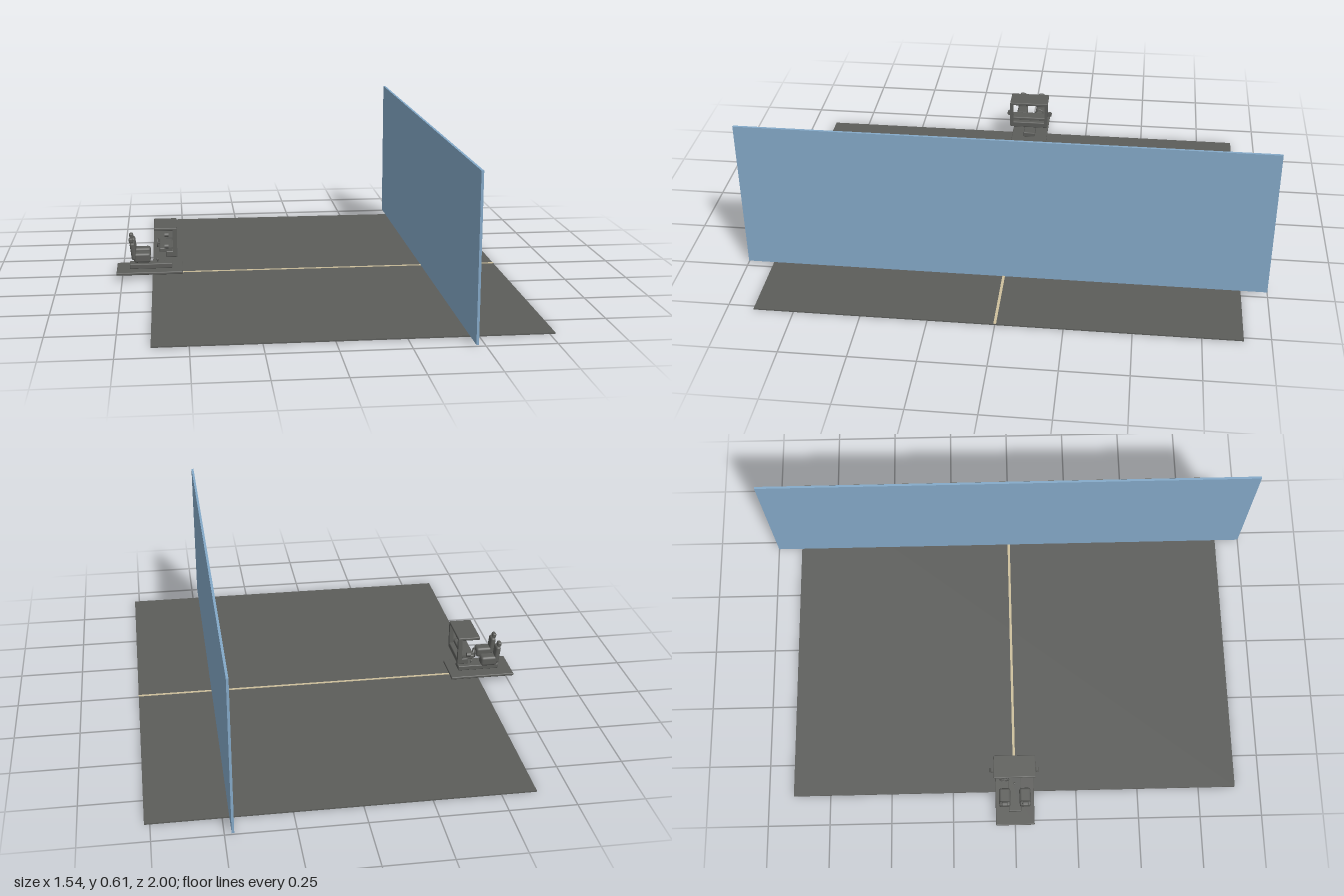
import * as THREE from 'three';
import { RoundedBoxGeometry } from 'three/addons/geometries/RoundedBoxGeometry.js';

export function createModel() {
  const model = new THREE.Group();
  const material = (name, color) => {
    const m = new THREE.MeshStandardMaterial({ color });
    m.name = name;
    return m;
  };
  const grey = material('asphalt grey', 0x5c5d5a);
  const blue = material('screen blue', 0x84a9c8);
  const cream = material('line cream', 0xcdbf9c);

  const add = (parent, name, geometry, mat, x = 0, y = 0, z = 0) => {
    const mesh = new THREE.Mesh(geometry, mat);
    mesh.name = name;
    mesh.position.set(x, y, z);
    parent.add(mesh);
    return mesh;
  };
  // Box given by its limits on each axis, rounded when r is set
  const box = (parent, name, mat, [x0, x1], [y0, y1], [z0, z1], r = 0) => {
    const size = [x1 - x0, y1 - y0, z1 - z0];
    const geometry = r ? new RoundedBoxGeometry(...size, 2, r) : new THREE.BoxGeometry(...size);
    return add(parent, name, geometry, mat, (x0 + x1) / 2, (y0 + y1) / 2, (z0 + z1) / 2);
  };

  // Road, centre line and projection screen
  box(model, 'road', grey, [-0.63, 0.77], [0, 0.005], [-0.9, 0.9]);
  box(model, 'centreLine', cream, [-0.63, 0.77], [0.005, 0.007], [-0.005, 0.005]);
  box(model, 'screen', blue, [0.466, 0.475], [0.005, 0.607], [-1, 1]);

  // Simulator cab: floor and raised tunnel
  const cab = new THREE.Group();
  cab.name = 'cab';
  model.add(cab);
  box(cab, 'floorPlate', grey, [-0.772, -0.51], [0.019, 0.03], [-0.078, 0.078], 0.003);
  box(cab, 'tunnel', grey, [-0.72, -0.55], [0.03, 0.05], [-0.025, 0.025], 0.003);

  // Two seats with leaning backs and headrests
  for (const side of [-1, 1]) {
    const seat = new THREE.Group();
    seat.name = side > 0 ? 'leftSeat' : 'rightSeat';
    seat.position.z = side * 0.041;
    cab.add(seat);
    box(seat, 'cushion', grey, [-0.702, -0.636], [0.064, 0.104], [-0.023, 0.023], 0.01);
    const back = box(seat, 'backrest', grey, [-0.714, -0.694], [0.075, 0.146], [-0.022, 0.022], 0.008);
    back.rotation.z = 0.12;
    const head = box(seat, 'headrest', grey, [-0.721, -0.705], [0.143, 0.163], [-0.013, 0.013], 0.006);
    head.rotation.z = 0.12;
  }

  // Roof on two front posts, joined by a lower front bar
  box(cab, 'roof', grey, [-0.62, -0.53], [0.198, 0.21], [-0.083, 0.083], 0.003);
  for (const side of [-1, 1]) {
    const z = side * 0.076;
    box(cab, 'post', grey, [-0.547, -0.53], [0.095, 0.205], [z - 0.007, z + 0.007]);
    const mirror = add(cab, 'sideMirror', new THREE.CylinderGeometry(0.009, 0.009, 0.016, 16), grey, -0.572, 0.138, side * 0.09);
    mirror.rotation.z = Math.PI / 2;
    box(cab, 'mirrorArm', grey, [-0.575, -0.535], [0.123, 0.131], [z - 0.005, z + 0.005]);
  }
  box(cab, 'frontBar', grey, [-0.575, -0.53], [0.09, 0.115], [-0.08, 0.08], 0.004);
  box(cab, 'dashboard', grey, [-0.6, -0.55], [0.112, 0.128], [-0.078, 0.078], 0.004);

  // Steering wheel, column and pedals on the left side
  const wheel = add(cab, 'steeringWheel', new THREE.TorusGeometry(0.017, 0.003, 8, 24), grey, -0.608, 0.121, -0.041);
  wheel.rotation.set(0, Math.PI / 2, 0);
  const column = add(cab, 'steeringColumn', new THREE.CylinderGeometry(0.003, 0.003, 0.03, 10), grey, -0.595, 0.119, -0.041);
  column.rotation.z = Math.PI / 2;
  const lever = add(cab, 'gearLever', new THREE.CylinderGeometry(0.002, 0.002, 0.016, 8), grey, -0.608, 0.054, 0);
  lever.rotation.z = 0.2;
  add(cab, 'gearKnob', new THREE.SphereGeometry(0.005, 12, 8), grey, -0.609, 0.061, 0);

  return model;
}
